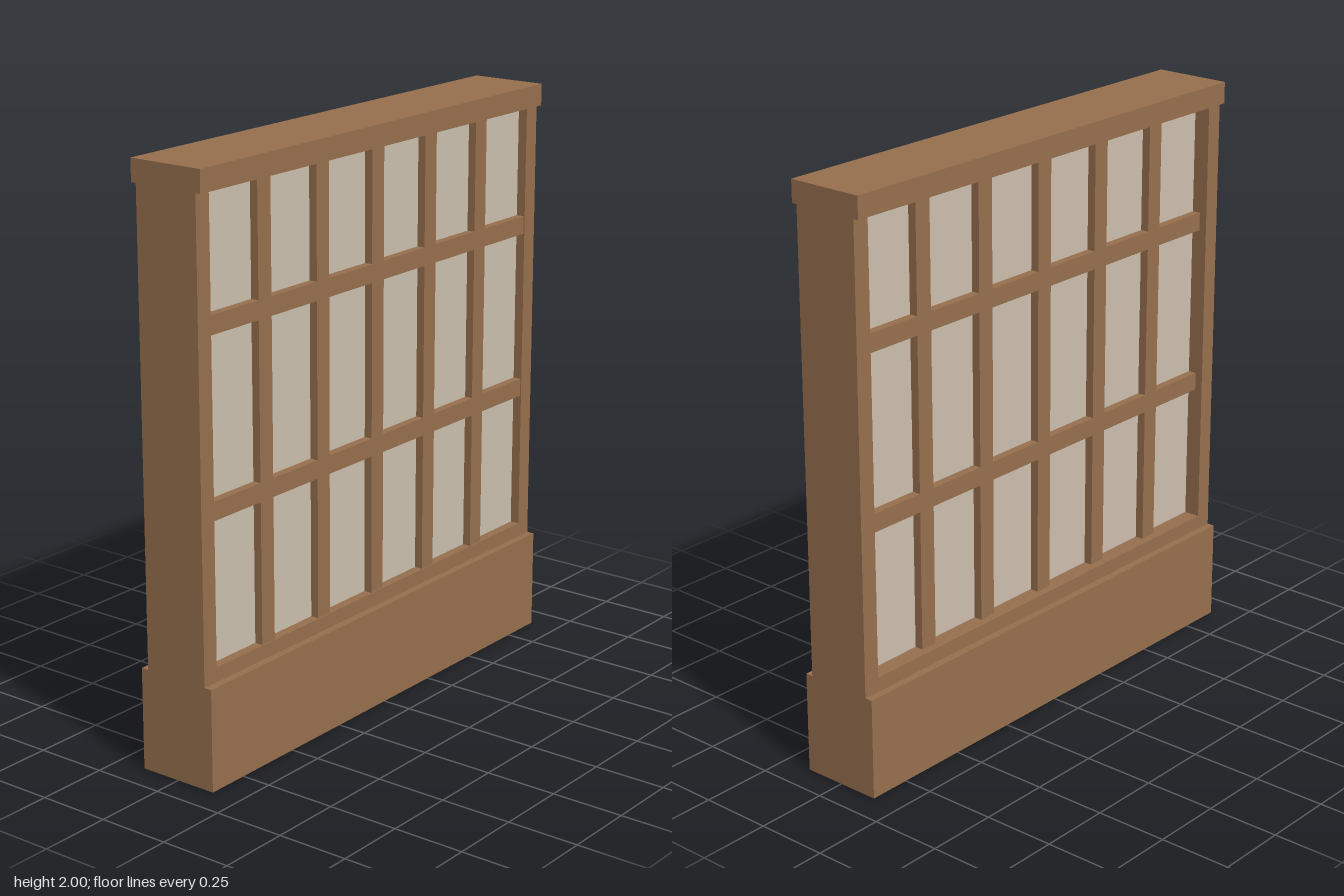
import * as THREE from 'three';

export function createModel() {
  const model = new THREE.Group();
  model.name = 'latticeScreen';

  const wood = new THREE.MeshStandardMaterial({ color: 0x966f4d });
  wood.name = 'warm brown wood';
  const paper = new THREE.MeshStandardMaterial({ color: 0xcbbfad });
  paper.name = 'cream paper';

  // Box given by its lower and upper limits on each axis
  function block(name, material, [x0, x1], [y0, y1], [z0, z1], parent = model) {
    const mesh = new THREE.Mesh(new THREE.BoxGeometry(x1 - x0, y1 - y0, z1 - z0), material);
    mesh.position.set((x0 + x1) / 2, (y0 + y1) / 2, (z0 + z1) / 2);
    mesh.name = name;
    parent.add(mesh);
  }

  const half = 0.9, inner = 0.84;
  const baseTop = 0.35, sillTop = 0.4, capBottom = 1.925;
  const frameZ = [-0.118, 0.118], latticeZ = [-0.09, 0.114];

  // Solid plinth, sill and top cap
  block('base', wood, [-half, half], [0, baseTop], [-0.145, 0.145]);
  block('sill', wood, [-inner, inner], [baseTop, sillTop], frameZ);
  block('topCap', wood, [-half, half], [capBottom, 2], [-0.137, 0.137]);

  // Side posts
  block('leftPost', wood, [inner, half], [baseTop, capBottom], frameZ);
  block('rightPost', wood, [-half, -inner], [baseTop, capBottom], frameZ);

  // Infill panel set between the posts
  block('paperPanel', paper, [-inner, inner], [sillTop, capBottom], [-0.06, 0.085]);

  // Lattice of upright and cross bars, visible on both faces
  const lattice = new THREE.Group();
  lattice.name = 'lattice';
  model.add(lattice);
  const bar = 0.0315;
  for (let i = 0; i < 5; i++) {
    const x = -0.58 + i * 0.288;
    block('uprightBar', wood, [x - bar, x + bar], [sillTop, capBottom], latticeZ, lattice);
  }
  for (const y of [0.915, 1.508]) {
    block('crossBar', wood, [-inner, inner], [y - bar, y + bar], latticeZ, lattice);
  }

  return model;
}
